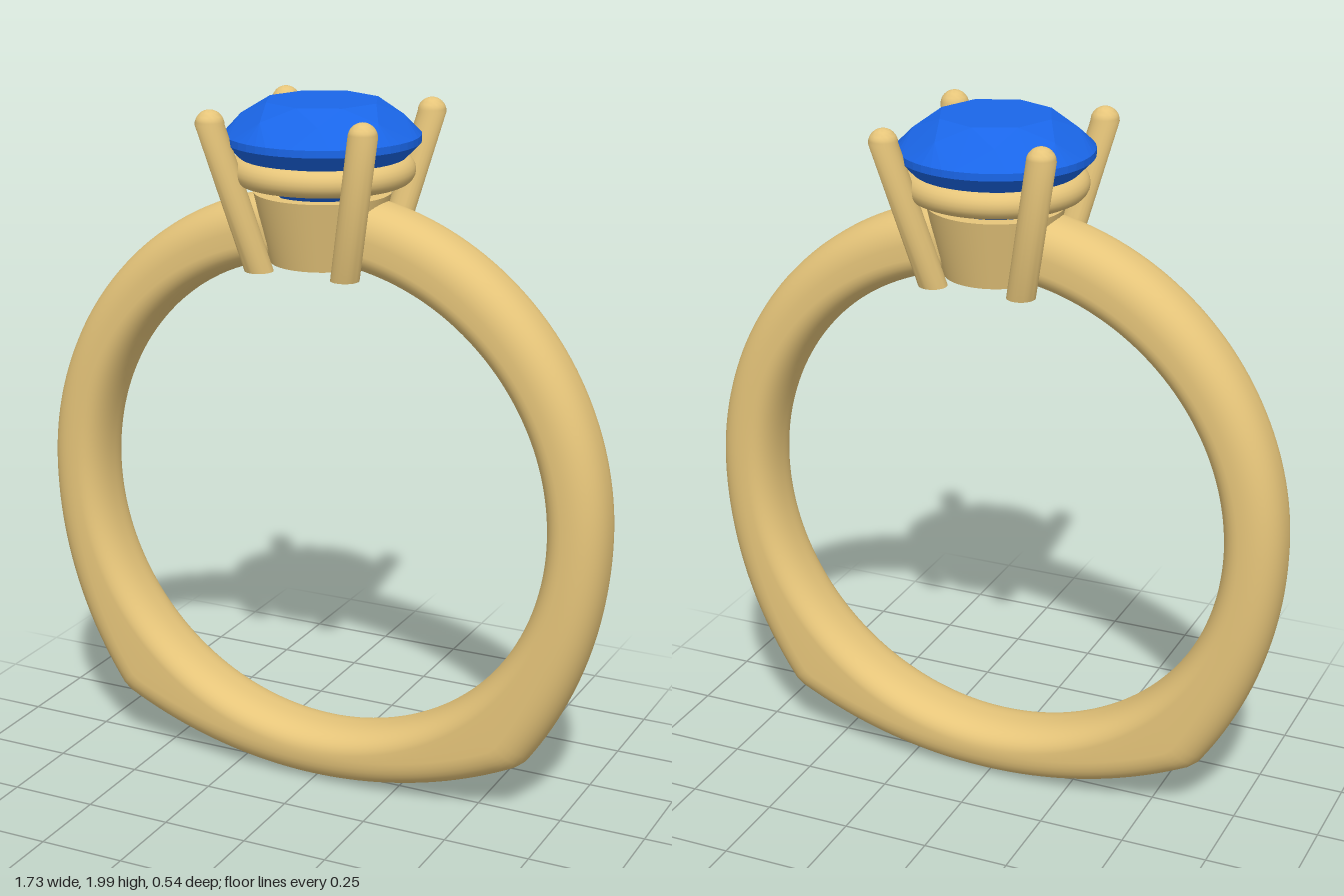
import * as THREE from 'three';
import { toCreasedNormals } from 'three/addons/utils/BufferGeometryUtils.js';
import { ConvexGeometry } from 'three/addons/geometries/ConvexGeometry.js';

const CENTER_Y = 0.865, INNER_R = 0.695, HALF_WIDTH = 0.103;

// Outer radius of the band: round above, swelling to two lower corners, flatter arc below
function outerRadius(a) {
  const s = Math.sin(a);
  if (s >= 0) return Math.min(0.865 + 0.025 * s * s, 0.88 / Math.max(s, 0.01));
  const fromSide = Math.min(Math.asin(-s), 1.2);
  const side = 0.865 + 0.083 * (fromSide / 0.83) ** 2;
  const R = 1.36, d = R - CENTER_Y + 0.005;         // large bottom arc
  const bottom = d * s + Math.sqrt(R * R - d * d * (1 - s * s));
  const k = 0.006, h = Math.max(k - Math.abs(side - bottom), 0);
  return Math.min(side, bottom) - h * h / (4 * k);  // slightly softened corner
}

// Rounded section with straight flanks, swept around the finger hole
function bandGeometry() {
  const N = 192, M = 40, pos = [], idx = [];
  const soft = (v) => Math.sign(v) * Math.abs(v) ** 0.85;
  for (let i = 0; i < N; i++) {
    const a = (i / N) * Math.PI * 2, outer = outerRadius(a);
    for (let j = 0; j < M; j++) {
      const p = (j / M) * Math.PI * 2 - Math.PI / 2 + Math.PI / M;
      const c = soft(Math.cos(p));
      const r = c > 0 ? outer - 0.1 * (1 - c) : INNER_R + 0.07 * (1 + c);
      pos.push(r * Math.cos(a), CENTER_Y + r * Math.sin(a), HALF_WIDTH * soft(Math.sin(p)));
      const i2 = (i + 1) % N, j2 = (j + 1) % M;
      const A = i * M + j, B = i2 * M + j, C = i2 * M + j2, D = i * M + j2;
      idx.push(A, B, C, A, C, D);
    }
  }
  const g = new THREE.BufferGeometry();
  g.setAttribute('position', new THREE.Float32BufferAttribute(pos, 3));
  g.setIndex(idx);
  g.computeVertexNormals();
  return g;
}

// Upright pin with domed tip, leaned outward along the diagonal so its foot stays level
function prongGeometry(sx, sz) {
  const r = 0.04, foot = 1.54, tip = 1.95;
  const pts = [new THREE.Vector2(0, foot), new THREE.Vector2(r, foot)];
  for (let i = 0; i <= 8; i++) {
    const a = (i / 8) * Math.PI / 2;
    pts.push(new THREE.Vector2(i === 8 ? 0 : r * Math.cos(a), tip + r * Math.sin(a)));
  }
  const g = new THREE.LatheGeometry(pts, 24), p = g.attributes.position;
  for (let i = 0; i < p.count; i++) {
    const t = Math.min((p.getY(i) - foot) / (tip - foot), 1);
    const lean = 0.13 + 0.095 * t;
    p.setX(i, p.getX(i) + sx * lean);
    p.setZ(i, p.getZ(i) + sz * lean);
  }
  return toCreasedNormals(g, 0.7);
}

// Round brilliant: table, crown, girdle, pavilion and culet
function gemGeometry() {
  const pts = [];
  const ring = (n, r, y, turn = 0) => {
    for (let i = 0; i < n; i++) {
      const a = ((i + turn) / n) * Math.PI * 2;
      pts.push(new THREE.Vector3(r * Math.cos(a), y, r * Math.sin(a)));
    }
  };
  ring(8, 0.16, 2.0);
  ring(8, 0.222, 1.962, 0.5);
  ring(48, 0.27, 1.91);
  ring(48, 0.27, 1.89);
  ring(8, 0.06, 1.675, 0.5);
  ring(1, 0, 1.63);
  return new ConvexGeometry(pts);
}

export function createModel() {
  const model = new THREE.Group();
  const gold = new THREE.MeshStandardMaterial({ color: 0xe6c57a });
  const blue = new THREE.MeshStandardMaterial({ color: 0x1a66e8, flatShading: true });
  const add = (name, geometry, material, parent = model) => {
    const mesh = new THREE.Mesh(geometry, material);
    mesh.name = name;
    parent.add(mesh);
    return mesh;
  };

  add('band', bandGeometry(), gold);

  // Setting: flared collar, support ring and four prongs
  const setting = new THREE.Group();
  setting.name = 'setting';
  model.add(setting);
  const profile = [[0.08, 1.555], [0.145, 1.555], [0.19, 1.75], [0.15, 1.75], [0.08, 1.555]]
    .map(([x, y]) => new THREE.Vector2(x, y));
  add('collar', toCreasedNormals(new THREE.LatheGeometry(profile, 64), 0.6), gold, setting);

  const rail = add('supportRing', new THREE.TorusGeometry(0.217, 0.038, 20, 72), gold, setting);
  rail.rotation.x = Math.PI / 2;
  rail.position.y = 1.812;

  for (const sx of [-1, 1]) for (const sz of [-1, 1]) {
    add(`${sz > 0 ? 'front' : 'back'}${sx > 0 ? 'Left' : 'Right'}Prong`, prongGeometry(sx, sz), gold, setting);
  }

  add('gemstone', gemGeometry(), blue);
  return model;
}
